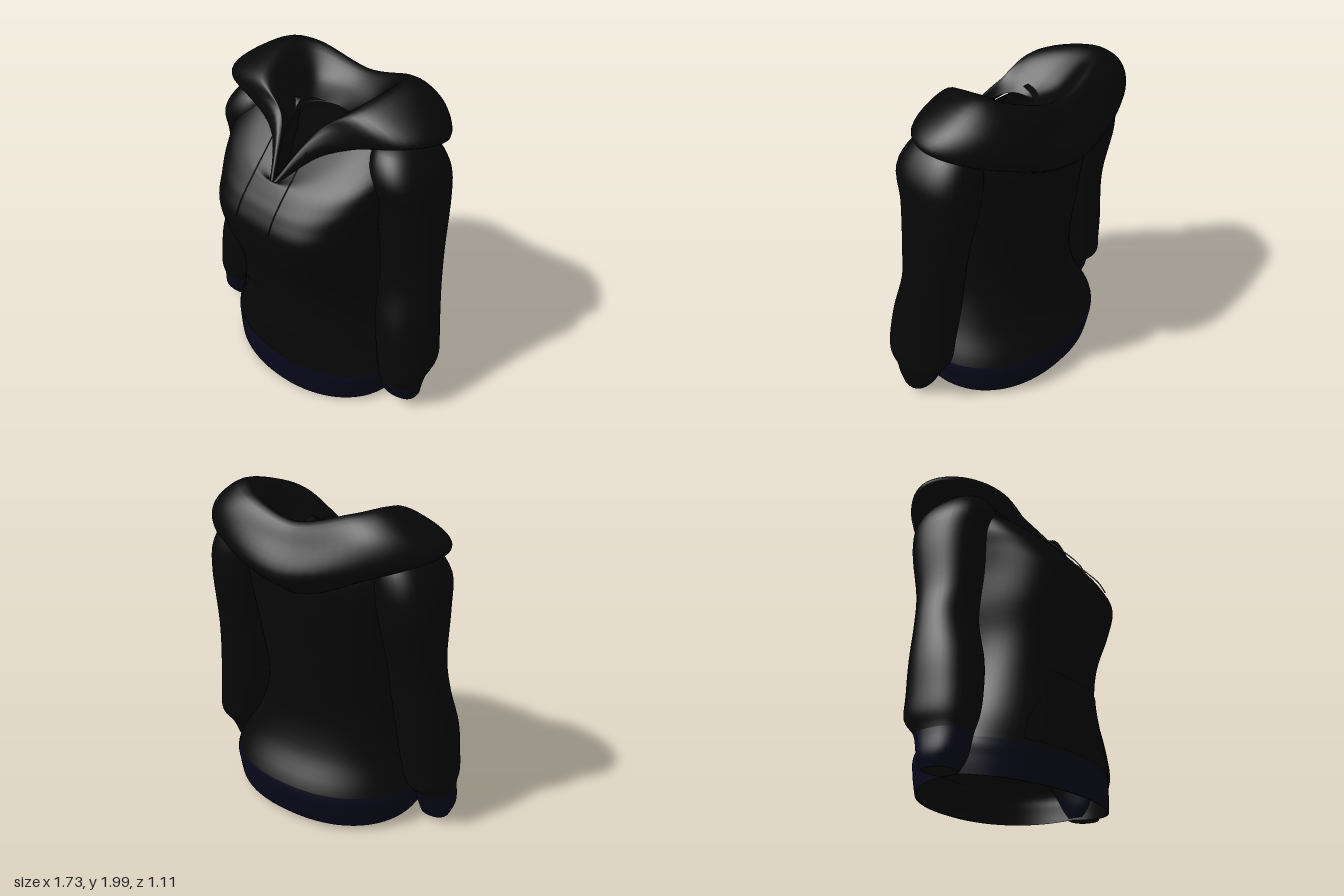
import * as THREE from 'three';

const material = (name, color) => {
  const m = new THREE.MeshStandardMaterial({ color, side: THREE.DoubleSide });
  m.name = name;
  return m;
};

// Smooth interpolation through equal-length rows of numbers, t in row units
function sample(rows, t) {
  const n = rows.length - 1;
  const i = Math.min(Math.floor(t), n - 1), f = t - i;
  const at = k => rows[Math.max(0, Math.min(n, k))];
  const [a, b, c, d] = [at(i - 1), at(i), at(i + 1), at(i + 2)];
  return b.map((p, k) => {
    const m0 = (c[k] - a[k]) / 2, m1 = (d[k] - p) / 2, e = c[k] - p;
    return p + f * (m0 + f * (3 * e - 2 * m0 - m1 + f * (m0 + m1 - 2 * e)));
  });
}

// Grid surface from fn(u, v) -> [x, y, z]; u may wrap round
function surface(fn, nu, nv, closed) {
  const pos = [], index = [], cols = closed ? nu : nu + 1;
  for (let j = 0; j <= nv; j++)
    for (let i = 0; i < cols; i++) pos.push(...fn(i / nu, j / nv));
  for (let j = 0; j < nv; j++)
    for (let i = 0; i < nu; i++) {
      const k = (i + 1) % cols;
      const a = j * cols + i, b = j * cols + k, c = b + cols, d = a + cols;
      index.push(a, d, c, a, c, b);
    }
  const g = new THREE.BufferGeometry();
  g.setAttribute('position', new THREE.Float32BufferAttribute(pos, 3));
  g.setIndex(index);
  g.computeVertexNormals();
  return g;
}

const spow = (v, e) => Math.sign(v) * Math.pow(Math.abs(v), e);

// Torso rings: side y, front y, back y, half width, front z, back z, front corner power, centre x
const TORSO = [
  [0.06, 0.0, 0.03, 0.63, 0.45, -0.5, 0.95, 0],
  [0.15, 0.1, 0.14, 0.64, 0.452, -0.52, 0.95, 0],
  [0.25, 0.2, 0.25, 0.635, 0.445, -0.52, 0.92, 0],
  [0.44, 0.42, 0.44, 0.53, 0.435, -0.41, 0.85, -0.01],
  [0.65, 0.65, 0.65, 0.46, 0.42, -0.355, 0.78, -0.025],
  [0.85, 0.85, 0.85, 0.44, 0.45, -0.36, 0.72, -0.03],
  [1.05, 1.05, 1.05, 0.47, 0.515, -0.375, 0.65, -0.03],
  [1.25, 1.22, 1.25, 0.5, 0.545, -0.395, 0.62, -0.02],
  [1.4, 1.33, 1.42, 0.53, 0.5, -0.41, 0.68, -0.02],
  [1.54, 1.4, 1.56, 0.56, 0.45, -0.41, 0.76, -0.02],
  [1.68, 1.45, 1.65, 0.54, 0.41, -0.37, 0.88, -0.02],
  [1.76, 1.47, 1.71, 0.38, 0.39, -0.27, 1.0, -0.03],
  [1.76, 1.46, 1.72, 0.145, 0.375, -0.15, 1.2, -0.03],
];

function torsoPoint(angle, t, inset = 0) {
  const [ys, yf, yb, w, zf, zb, ef, cx] = sample(TORSO, t);
  const front = Math.sin(angle) > 0, e = front ? ef : 0.9;
  const c = spow(Math.cos(angle), e), k = Math.pow(Math.abs(Math.sin(angle)), e);
  return [cx + (w - inset) * c, ys + ((front ? yf : yb) - ys) * k, k * (front ? zf - inset : zb + inset)];
}

// Sleeve rings from wrist to shoulder: y, inner x, outer x, front z, back z
const LEFT_SLEEVE = [
  [0.07, 0.61, 0.815, 0.12, -0.06],
  [0.13, 0.59, 0.82, 0.17, -0.09],
  [0.21, 0.575, 0.83, 0.19, -0.13],
  [0.32, 0.555, 0.862, 0.215, -0.2],
  [0.45, 0.53, 0.855, 0.21, -0.21],
  [0.65, 0.485, 0.83, 0.18, -0.22],
  [0.9, 0.455, 0.8, 0.11, -0.23],
  [1.1, 0.44, 0.78, 0.11, -0.26],
  [1.4, 0.4, 0.755, 0.13, -0.32],
  [1.58, 0.37, 0.735, 0.17, -0.32],
  [1.72, 0.37, 0.64, 0.1, -0.26],
  [1.78, 0.46, 0.52, -0.04, -0.12],
];
const RIGHT_SLEEVE = [
  [0.04, 0.66, 0.84, 0.11, -0.06],
  [0.11, 0.64, 0.86, 0.16, -0.09],
  [0.23, 0.615, 0.85, 0.18, -0.13],
  [0.32, 0.58, 0.866, 0.2, -0.2],
  [0.45, 0.545, 0.86, 0.2, -0.21],
  [0.65, 0.51, 0.845, 0.18, -0.22],
  [0.9, 0.475, 0.8, 0.11, -0.23],
  [1.1, 0.46, 0.765, 0.11, -0.26],
  [1.4, 0.41, 0.77, 0.13, -0.32],
  [1.58, 0.38, 0.745, 0.17, -0.32],
  [1.72, 0.38, 0.645, 0.1, -0.26],
  [1.78, 0.47, 0.53, -0.04, -0.12],
];

// Hood sections from the neck tip to centre back; six points each, neck side to underside
const HOOD = [
  [0, 1.45, 0.37, 0, 1.465, 0.38, 0.005, 1.47, 0.385, 0.01, 1.47, 0.387, 0.015, 1.46, 0.39, 0.01, 1.44, 0.385],
  [0.09, 1.63, 0.2, 0.1, 1.69, 0.19, 0.12, 1.73, 0.18, 0.16, 1.73, 0.19, 0.19, 1.68, 0.2, 0.18, 1.62, 0.2],
  [0.13, 1.71, 0.07, 0.2, 1.81, 0.09, 0.33, 1.895, 0.1, 0.52, 1.85, 0.09, 0.61, 1.78, 0.07, 0.48, 1.74, 0.05],
  [0.14, 1.72, -0.04, 0.24, 1.81, -0.09, 0.41, 1.99, -0.2, 0.62, 1.9, -0.2, 0.72, 1.77, -0.18, 0.54, 1.72, -0.15],
  [0.11, 1.72, -0.11, 0.2, 1.79, -0.22, 0.3, 1.945, -0.34, 0.45, 1.86, -0.42, 0.49, 1.7, -0.435, 0.37, 1.6, -0.35],
  [0, 1.72, -0.15, 0, 1.78, -0.26, 0, 1.865, -0.39, 0, 1.76, -0.475, 0, 1.6, -0.555, 0, 1.47, -0.41],
];

export function createModel() {
  const model = new THREE.Group();
  const fabric = material('blackFabric', 0x070707);
  const ribbing = material('navyRibbing', 0x07071b);
  const cord = material('blackCord', 0x030303);
  const add = (name, geometry, mat, parent = model) => {
    const mesh = new THREE.Mesh(geometry, mat);
    mesh.name = name;
    parent.add(mesh);
    return mesh;
  };

  // Torso and ribbed hem share one ring table; the hem has a plain lining
  const torsoPart = (from, to, inset) =>
    surface((u, v) => torsoPoint(u * Math.PI * 2, from + (to - from) * v, inset), 72, (to - from) * 5, true);
  add('hemBand', torsoPart(0, 2), ribbing);
  add('hemLining', torsoPart(0, 2, 0.008), fabric);
  add('torso', torsoPart(2, TORSO.length - 1), fabric);

  // Front pocket: a thin patch following the belly, narrower above
  add('frontPocket', surface((u, v) => {
    const half = 0.8 - 0.3 * THREE.MathUtils.smoothstep(v, 0.25, 1);
    const p = torsoPoint(Math.PI / 2 + (0.5 - u) * 2 * half, 2.1 + v * 1.9);
    return [p[0] * 1.01, p[1], p[2] + 0.005];
  }, 24, 14, false), fabric);

  // Sleeves with cuffs
  for (const [name, side, rows] of [['left', 1, LEFT_SLEEVE], ['right', -1, RIGHT_SLEEVE]]) {
    const sleeve = new THREE.Group();
    sleeve.name = name + 'Sleeve';
    model.add(sleeve);
    const point = (a, t, scale = 1) => {
      const [y, xi, xo, zf, zb] = sample(rows, t);
      return [
        side * ((xi + xo) / 2 + scale * (xo - xi) / 2 * spow(Math.cos(a), 0.85)), y,
        (zf + zb) / 2 + scale * (zf - zb) / 2 * spow(Math.sin(a), 0.85),
      ];
    };
    // Strip of sleeve between two rings and two angles in degrees
    const part = (from, to, start = 0, sweep = 360) => surface((u, v) =>
      point(THREE.MathUtils.degToRad(start + sweep * u) * side, from + (to - from) * v),
    sweep / 10, (to - from) * 5, sweep === 360);
    if (side > 0) {
      add('leftCuff', part(0, 2, 20, 240), ribbing, sleeve);
      add('leftCuffOuterPanel', part(0, 2, 260, 120), fabric, sleeve);
    } else add('rightCuff', part(0, 2), ribbing, sleeve);
    add(name + 'SleeveFabric', part(2, rows.length - 1), fabric, sleeve);
    add(name + 'CuffOpening', surface((u, v) => point(u * Math.PI * 2, 0.1 * v, 1 - v), 36, 4, true), fabric, sleeve);
  }

  // Hood: folded drape swept round the neck, right front to left front
  const sections = [];
  for (let i = -5; i <= 5; i++) {
    const wide = i < 0 ? -1.05 : 1;
    const height = i === -3 || i === -2 ? 0.94 : 1;
    sections.push(HOOD[5 - Math.abs(i)].map((n, k) =>
      [n * wide - 0.02, 1.6 + (n - 1.6) * height, n][k % 3]));
  }
  add('hood', surface((u, v) => {
    const row = sample(sections, u * 10);
    const points = [];
    for (let k = 0; k < 18; k += 3) points.push(row.slice(k, k + 3));
    return sample(points, v * 5);
  }, 80, 30, false), fabric);

  // Drawstrings hanging from the neck opening
  for (const [name, x] of [['left', 0.1], ['right', -0.155]]) {
    const path = new THREE.CatmullRomCurve3([
      new THREE.Vector3(x, 1.69, 0.2), new THREE.Vector3(x, 1.58, 0.3),
      new THREE.Vector3(x, 1.45, 0.42), new THREE.Vector3(x, 1.34, 0.51),
      new THREE.Vector3(x, 1.26, 0.55),
    ]);
    add(name + 'Drawstring', new THREE.TubeGeometry(path, 24, 0.004, 6), cord);
  }

  // Small ring at the foot of the neck opening
  const ring = add('neckRing', new THREE.TorusGeometry(0.013, 0.004, 6, 16), cord);
  ring.position.set(-0.025, 1.45, 0.405);
  ring.rotation.x = -0.7;

  return model;
}
